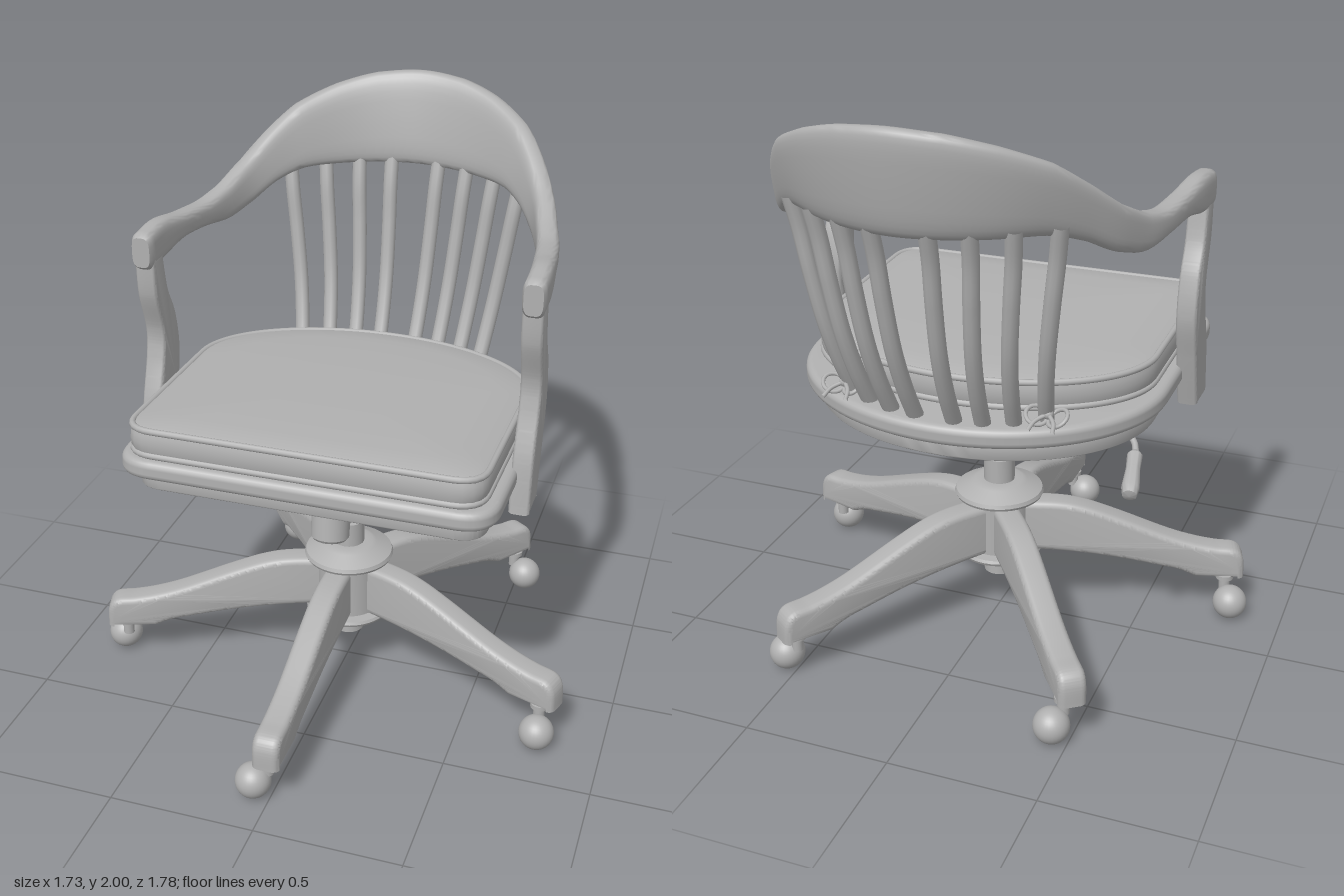
import * as THREE from 'three';
import { toCreasedNormals } from 'three/addons/utils/BufferGeometryUtils.js';

const V = (x, y, z) => new THREE.Vector3(x, y, z);
const grey = new THREE.MeshStandardMaterial({ color: 0xb0b0b0 });
grey.name = 'plain grey';

function add(parent, name, geo, x = 0, y = 0, z = 0) {
  const m = new THREE.Mesh(geo, grey);
  m.name = name;
  m.position.set(x, y, z);
  parent.add(m);
  return m;
}

// Skin over a list of equal-length closed rings, capped at both ends
function loft(rings) {
  const n = rings[0].length, pos = [], idx = [];
  rings.forEach(r => r.forEach(p => pos.push(p.x, p.y, p.z)));
  for (let i = 0; i < rings.length - 1; i++)
    for (let j = 0; j < n; j++) {
      const k = (j + 1) % n, a = i * n + j, b = i * n + k;
      idx.push(a, b, b + n, a, b + n, a + n);
    }
  [0, rings.length - 1].forEach((i, end) => {
    const c = V(0, 0, 0);
    rings[i].forEach(p => c.addScaledVector(p, 1 / n));
    const ci = pos.length / 3;
    pos.push(c.x, c.y, c.z);
    for (let j = 0; j < n; j++) {
      const a = i * n + j, b = i * n + (j + 1) % n;
      if (end) idx.push(ci, a, b); else idx.push(ci, b, a);
    }
  });
  const g = new THREE.BufferGeometry();
  g.setAttribute('position', new THREE.Float32BufferAttribute(pos, 3));
  g.setIndex(idx);
  return toCreasedNormals(g, 0.8);
}

// Extrusion with rounded edges that keeps its outline and total depth, centred in depth
function rounded(shape, depth, bevel) {
  const g = new THREE.ExtrudeGeometry(shape, {
    depth: depth - 2 * bevel, bevelSize: bevel, bevelThickness: bevel,
    bevelOffset: -bevel, bevelSegments: 4, curveSegments: 24,
  });
  g.translate(0, 0, bevel - depth / 2);
  return toCreasedNormals(g, 0.7);
}

const tube = (pts, r, n = 24, closed = false) =>
  new THREE.TubeGeometry(new THREE.CatmullRomCurve3(pts, closed), n, r, 10, closed);
const lathe = pts => toCreasedNormals(
  new THREE.LatheGeometry(pts.map(p => new THREE.Vector2(...p)), 40), 0.6);

// Seat plan: square front with round corners, elliptical back
function plan(hw, front, back, r) {
  const s = new THREE.Shape(), zs = 0.1, k = 0.5523, b = -back - zs;
  s.moveTo(-hw + r, -front);
  s.lineTo(hw - r, -front);
  s.quadraticCurveTo(hw, -front, hw, -front + r);
  s.lineTo(hw, zs);
  s.bezierCurveTo(hw, zs + k * b, k * hw, -back, 0, -back);
  s.bezierCurveTo(-k * hw, -back, -hw, zs + k * b, -hw, zs);
  s.lineTo(-hw, -front + r);
  s.quadraticCurveTo(-hw, -front, -hw + r, -front);
  return s;
}

function buildSeat(parent) {
  const seat = new THREE.Group();
  seat.name = 'seat';
  seat.position.y = 0.95;
  seat.rotation.x = -0.03;
  parent.add(seat);
  const board = (name, shape, y, h, bevel) =>
    add(seat, name, rounded(shape, h, bevel).rotateX(-Math.PI / 2), 0, y, 0);
  board('lowerBoard', plan(0.59, 0.51, -0.56, 0.1), -0.033, 0.066, 0.008);
  board('seatBoard', plan(0.635, 0.575, -0.615, 0.13), 0.033, 0.068, 0.024);

  // Cushion with domed top and piping
  const outline = plan(0.595, 0.56, -0.47, 0.1).getSpacedPoints(120).slice(0, -1);
  const ring = (s, y) => outline.map(p => V(p.x * s, y, -(p.y + 0.04) * s + 0.04));
  add(seat, 'cushion', loft([[0.96, 0.066], [0.985, 0.075], [1, 0.1], [1.004, 0.125], [1, 0.15],
    [0.985, 0.175], [0.95, 0.182], [0.8, 0.19], [0.5, 0.196], [0.2, 0.198]].map(a => ring(...a))));
  for (const y of [0.085, 0.172])
    add(seat, 'cushionPiping', tube(ring(0.992, y), 0.011, 160, true));

  // Cushion ties around the spindles
  for (const s of [-1, 1]) {
    add(seat, 'tieKnot', new THREE.SphereGeometry(0.018, 12, 8), s * 0.35, 0.1, -0.475);
    for (const d of [-1, 1]) {
      const loop = add(seat, 'tieLoop', new THREE.TorusGeometry(0.035, 0.007, 8, 20),
        s * 0.35 + d * 0.035, 0.095, -0.485);
      loop.rotation.set(1.1, d * 0.4, 0);
      add(seat, 'tieEnd', tube([V(0, 0, 0), V(d * 0.03, -0.01, -0.04), V(d * 0.04, -0.025, -0.08)],
        0.007, 10), s * 0.35, 0.1, -0.475);
    }
  }

  // Mounting plate and bolts
  add(seat, 'mountPlate', new THREE.BoxGeometry(0.34, 0.014, 0.66), 0, -0.072, 0.04);
  for (const x of [-0.145, 0.145]) for (const z of [-0.26, 0.34])
    add(seat, 'plateBolt', new THREE.CylinderGeometry(0.022, 0.018, 0.02, 16), x, -0.087, z);
}

function buildBack(parent) {
  // Half path of the arm rail: x, z, top, bottom, outward lean
  const half = [
    [0.65, 0.205, 1.67, 1.545, 0], [0.648, 0.1, 1.68, 1.55, 0], [0.632, -0.05, 1.66, 1.575, 0],
    [0.612, -0.2, 1.65, 1.565, 0], [0.585, -0.32, 1.67, 1.55, 0], [0.54, -0.45, 1.73, 1.58, 0.008],
    [0.48, -0.55, 1.81, 1.635, 0.016], [0.4, -0.645, 1.89, 1.668, 0.024],
    [0.28, -0.74, 1.95, 1.67, 0.028], [0.15, -0.8, 1.987, 1.67, 0.03], [0, -0.825, 2, 1.67, 0.03],
  ];
  const all = [...half, ...half.slice(0, -1).reverse().map(([x, ...r]) => [-x, ...r])];
  const path = new THREE.CatmullRomCurve3(all.map(a => V(a[0], 0, a[1])));
  const size = new THREE.CatmullRomCurve3(all.map(a => V(a[2], a[3], a[4])));
  const pw = (v, e) => Math.sign(v) * Math.abs(v) ** e;
  const rings = [], N = 100;
  const section = (u, scale, push) => {
    const c = path.getPoint(u), t = path.getTangent(u), s = size.getPoint(u);
    const out = V(-t.z, 0, t.x), mid = (s.x + s.y) / 2, h = (s.x - s.y) / 2;
    return Array.from({ length: 28 }, (_, j) => {
      const a = j / 28 * Math.PI * 2, w = pw(Math.cos(a), 0.6) * scale, v = -pw(Math.sin(a), 0.6) * scale;
      return V(c.x, mid + v * h, c.z).addScaledVector(out, w * 0.038 + v * s.z).addScaledVector(t, push);
    });
  };
  rings.push(section(0, 0.82, -0.015));
  for (let i = 0; i <= N; i++) rings.push(section(i / N, 1, 0));
  rings.push(section(1, 0.82, 0.015));
  add(parent, 'armAndBackRail', loft(rings));

  // Eight curved spindles fanning from seat to rail
  const foot = [[0.065, -0.545], [0.155, -0.53], [0.245, -0.495], [0.33, -0.435]];
  const head = [[0.09, -0.79], [0.205, -0.755], [0.32, -0.705], [0.43, -0.625]];
  for (const s of [-1, 1]) foot.forEach(([fx, fz], i) => {
    const [hx, hz] = head[i];
    const at = (f, bow) => V(s * (fx + (hx - fx) * f), 0.98 + 0.72 * f, fz + (hz - fz) * f - bow);
    add(parent, 'backSpindle', tube([at(0, 0), at(0.2, 0.03), at(0.4, 0.04), at(0.65, 0.025),
      at(0.85, 0.005), at(1, 0)], 0.027));
  });

  // Curved arm posts
  const post = new THREE.Shape();
  post.moveTo(0.105, 0.865);
  post.splineThru([[0.06, 1.05], [0.03, 1.2], [0.05, 1.34], [0.1, 1.45], [0.125, 1.58]]
    .map(p => new THREE.Vector2(...p)));
  post.lineTo(0.205, 1.58);
  post.splineThru([[0.2, 1.45], [0.16, 1.31], [0.17, 1.21], [0.22, 1.05], [0.243, 0.865]]
    .map(p => new THREE.Vector2(...p)));
  for (const s of [-1, 1])
    add(parent, 'armPost', rounded(post, 0.07, 0.014).rotateY(-Math.PI / 2), s * 0.648, 0, 0);
}

function buildMechanism(parent) {
  const body = new THREE.Shape([[0.34, 0.89], [0.34, 0.865], [0.2, 0.81], [0.08, 0.785],
    [-0.08, 0.785], [-0.26, 0.86], [-0.26, 0.88]].map(p => new THREE.Vector2(...p)));
  add(parent, 'tiltHousing', rounded(body, 0.23, 0.008).rotateY(-Math.PI / 2));
  add(parent, 'swivelCup', lathe([[0, 0.735], [0.04, 0.735], [0.055, 0.755], [0.09, 0.78], [0.09, 0.8], [0, 0.8]]), 0, 0, 0.015);

  // Tension spring and knob
  const knob = new THREE.Group();
  knob.name = 'tensionKnob';
  knob.position.set(0, 0.7, 0.22);
  knob.rotation.x = -0.17;
  parent.add(knob);
  add(knob, 'knob', lathe([[0, -0.055], [0.058, -0.055], [0.066, -0.045], [0.068, 0.05], [0.06, 0.058], [0, 0.058]]));
  add(knob, 'knobShaft', new THREE.CylinderGeometry(0.03, 0.03, 0.12, 16), 0, 0.1, 0);
  const coil = Array.from({ length: 61 }, (_, i) => {
    const a = i / 60 * Math.PI * 10;
    return V(0.052 * Math.cos(a), 0.06 + 0.09 * i / 60, 0.052 * Math.sin(a));
  });
  add(knob, 'spring', tube(coil, 0.008, 160));

  // Height lever
  add(parent, 'leverRod', tube([V(-0.05, 0.81, -0.08), V(-0.3, 0.81, -0.08), V(-0.5, 0.81, -0.085),
    V(-0.53, 0.795, -0.11), V(-0.545, 0.775, -0.15)], 0.011));
  const handle = [[0.012, 0], [0.026, 0.02], [0.024, 0.08], [0.03, 0.16], [0.024, 0.19]];
  const dir = V(-0.035, -0.08, -0.19).normalize();
  const grip = add(parent, 'leverHandle', lathe([[0, 0], ...handle, [0, 0.198]]), -0.54, 0.78, -0.135);
  grip.quaternion.setFromUnitVectors(V(0, 1, 0), dir);
}

function buildBase(parent) {
  // Central column, hub and flanges
  add(parent, 'hubAndColumn', lathe([[0, 0.14], [0.055, 0.14], [0.055, 0.23], [0.15, 0.23], [0.155, 0.24],
    [0.15, 0.25], [0.115, 0.252], [0.115, 0.455], [0.155, 0.455], [0.16, 0.465], [0.155, 0.478],
    [0.1, 0.505], [0.085, 0.512], [0.055, 0.512], [0.055, 0.6], [0.035, 0.602], [0.035, 0.76], [0, 0.76]]), 0.008, 0, 0.012);

  // Five arched legs with ball casters
  const pts = a => a.map(p => new THREE.Vector2(...p));
  const leg = new THREE.Shape();
  leg.moveTo(0.05, 0.25);
  leg.lineTo(0.05, 0.44);
  leg.splineThru(pts([[0.2, 0.44], [0.3, 0.425], [0.42, 0.385], [0.6, 0.315], [0.7, 0.285], [0.78, 0.27],
    [0.85, 0.262], [0.88, 0.225], [0.885, 0.15]]));
  leg.lineTo(0.71, 0.15);
  leg.splineThru(pts([[0.65, 0.175], [0.58, 0.19], [0.42, 0.22], [0.25, 0.24], [0.05, 0.25]]));
  const legGeo = rounded(leg, 0.095, 0.022);
  for (let i = 0; i < 5; i++) {
    const g = new THREE.Group();
    g.name = 'baseLeg';
    g.rotation.y = -Math.PI / 2 + i * Math.PI * 0.4;
    parent.add(g);
    add(g, 'leg', legGeo);
    add(g, 'casterCollar', new THREE.CylinderGeometry(0.032, 0.032, 0.016, 20), 0.82, 0.143, 0.012);
    add(g, 'casterStem', new THREE.CylinderGeometry(0.02, 0.02, 0.06, 16), 0.82, 0.118, 0.012);
    add(g, 'casterBall', new THREE.SphereGeometry(0.061, 28, 20), 0.838, 0.061, 0.058);
  }
}

export function createModel() {
  const chair = new THREE.Group();
  chair.name = 'swivelChair';
  const upper = new THREE.Group();
  upper.name = 'upperChair';
  upper.position.x = 0.008;
  chair.add(upper);
  buildSeat(upper);
  buildBack(upper);
  buildMechanism(upper);
  buildBase(chair);
  return chair;
}
